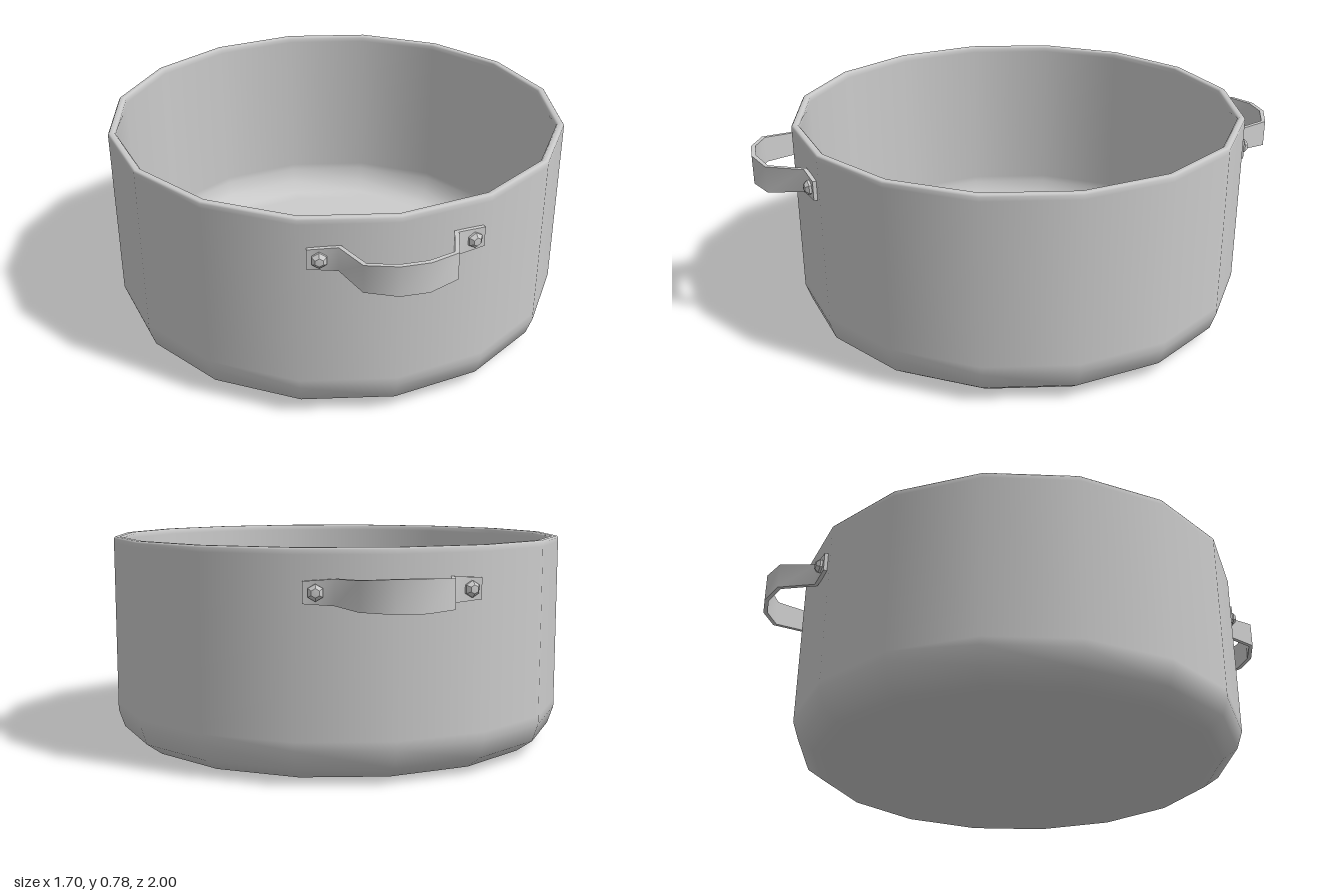
import * as THREE from 'three';
import { toCreasedNormals } from 'three/addons/utils/BufferGeometryUtils.js';

const grey = new THREE.MeshStandardMaterial({ color: 0xcccccc });

function add(parent, name, geometry) {
  const mesh = new THREE.Mesh(geometry, grey);
  mesh.name = name;
  parent.add(mesh);
  return mesh;
}

// Flat band bent along stations [x, z, half height]; thickness t goes inward
function strapGeometry(stations, yMid, t) {
  const pos = [], index = [];
  const n = stations.length;
  stations.forEach(([x, z, h], i) => {
    const a = stations[Math.max(i - 1, 0)], b = stations[Math.min(i + 1, n - 1)];
    const d = new THREE.Vector2(b[0] - a[0], b[1] - a[1]).normalize();
    const xi = x + d.y * t, zi = z - d.x * t;
    pos.push(x, yMid - h, z, x, yMid + h, z, xi, yMid + h, zi, xi, yMid - h, zi);
  });
  for (let i = 0; i < n - 1; i++) {
    for (let k = 0; k < 4; k++) {
      const a = i * 4 + k, b = i * 4 + (k + 1) % 4;
      index.push(a, a + 4, b + 4, a, b + 4, b);
    }
  }
  const e = (n - 1) * 4;
  index.push(0, 1, 2, 0, 2, 3, e, e + 2, e + 1, e, e + 3, e + 2);
  const g = new THREE.BufferGeometry();
  g.setAttribute('position', new THREE.Float32BufferAttribute(pos, 3));
  g.setIndex(index);
  return toCreasedNormals(g, 1.2);
}

function createHandle(name) {
  const handle = new THREE.Group();
  handle.name = name;

  // Strap: two feet lying on the wall facets, joined by a bowed grip
  const half = [[0.3, 0.804, 0.036], [0.2, 0.826, 0.043], [0.155, 0.957, 0.049], [0.05, 1.0, 0.054]];
  const left = half.map(([x, z, h]) => [-x, z, h]);
  add(handle, 'strap', strapGeometry([...left, ...half.reverse()], 0.636, 0.016));

  // Six-sided domed rivets, square to the wall facets
  const dome = [[0.028, -0.012], [0.028, 0.008], [0.015, 0.02], [0, 0.022]]
    .map(([r, y]) => new THREE.Vector2(r, y));
  for (const s of [-1, 1]) {
    const rivet = add(handle, s > 0 ? 'leftRivet' : 'rightRivet',
      toCreasedNormals(new THREE.LatheGeometry(dome, 6), 0.5));
    rivet.rotation.set(Math.PI / 2, 0, -s * Math.PI / 16, 'YXZ');
    rivet.position.set(s * 0.26, 0.636, 0.813);
  }
  return handle;
}

export function createModel() {
  const pot = new THREE.Group();
  pot.name = 'pot';

  // Sixteen-sided vessel: underside, outer wall, rim, inner wall, floor
  const profile = [
    [0, 0], [0.7, 0.009], [0.77, 0.013], [0.828, 0.055], [0.85, 0.12], [0.85, 0.15],
    [0.85, 0.755], [0.85, 0.77], [0.845, 0.777], [0.828, 0.777], [0.822, 0.77],
    [0.822, 0.755], [0.822, 0.15], [0.822, 0.125], [0.803, 0.07], [0.755, 0.035],
    [0.7, 0.03], [0, 0.025],
  ].map(([r, y]) => new THREE.Vector2(r, y));
  add(pot, 'vessel', new THREE.LatheGeometry(profile, 16));

  const front = createHandle('frontHandle');
  const back = createHandle('backHandle');
  back.rotation.y = Math.PI;
  pot.add(front, back);
  return pot;
}
